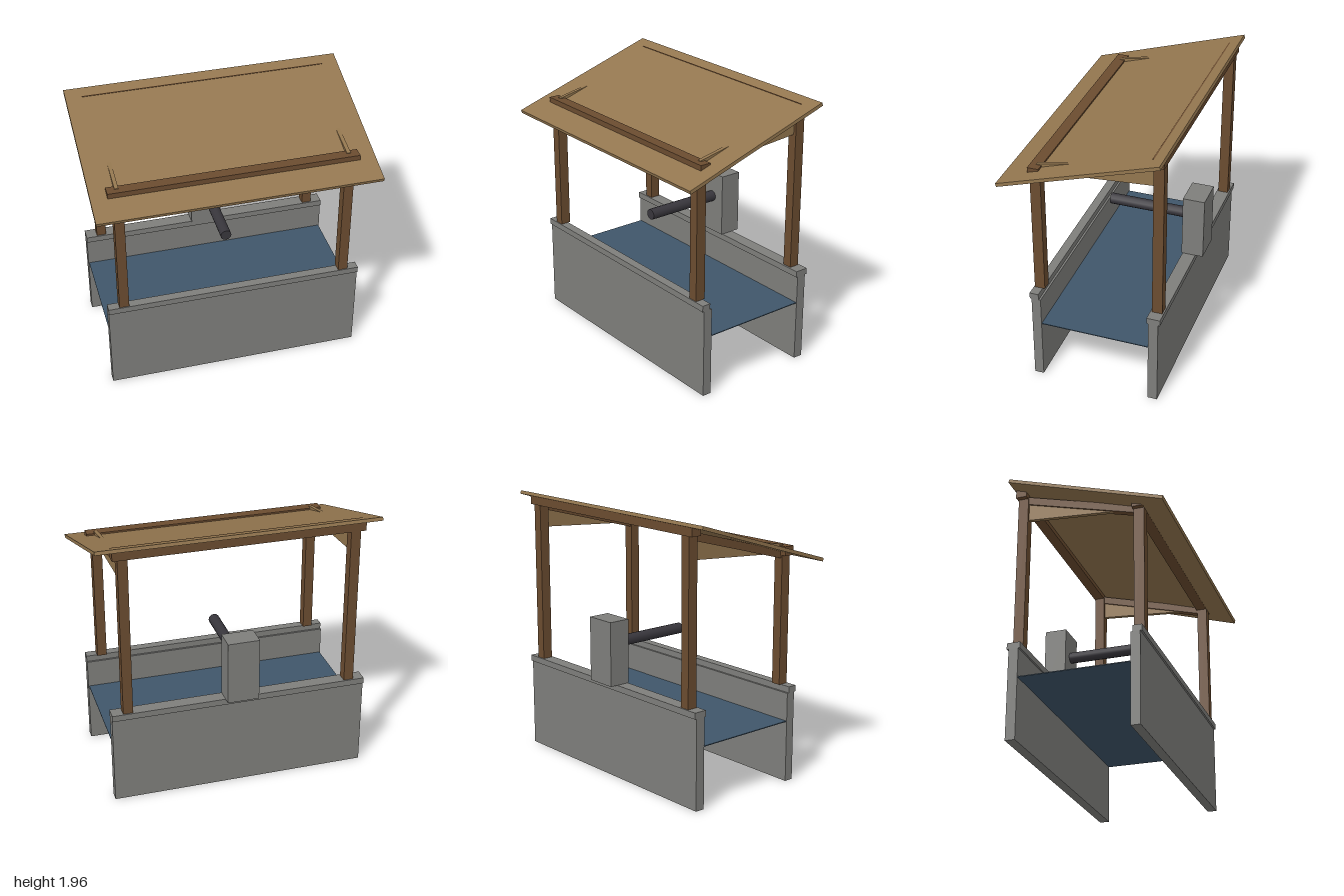
import * as THREE from 'three';

const material = (name, color) => {
  const m = new THREE.MeshStandardMaterial({ color });
  m.name = name;
  return m;
};

export function createModel() {
  const group = new THREE.Group();
  const stone = material('grey stone', 0x7e7e7b);
  const wood = material('dark wood', 0x6b4c30);
  const planks = material('light wood', 0x93764f);
  const iron = material('dark iron', 0x38363c);
  const waterBlue = material('water blue', 0x3f566a);

  const add = (name, geometry, mat) => {
    const mesh = new THREE.Mesh(geometry, mat);
    mesh.name = name;
    group.add(mesh);
    return mesh;
  };
  // Box given by its limits on each axis
  const box = (name, mat, [x0, x1], [y0, y1], [z0, z1]) => {
    const mesh = add(name, new THREE.BoxGeometry(x1 - x0, y1 - y0, z1 - z0), mat);
    mesh.position.set((x0 + x1) / 2, (y0 + y1) / 2, (z0 + z1) / 2);
    return mesh;
  };
  // Side profile of [z, y] points, extruded across x
  const sidePanel = (name, mat, points, x, width) => {
    const shape = new THREE.Shape(points.map(([z, y]) => new THREE.Vector2(-z, y)));
    const geometry = new THREE.ExtrudeGeometry(shape, { depth: width, bevelEnabled: false });
    geometry.translate(0, 0, -width / 2).rotateY(Math.PI / 2);
    add(name, geometry, mat).position.x = x;
  };

  // Trough walls, caps and water
  const wallX = [-0.93, 0.93];
  box('frontWall', stone, wallX, [0, 0.655], [0.34, 0.407]);
  box('frontCap', stone, wallX, [0.655, 0.7], [0.355, 0.42]);
  box('backWall', stone, wallX, [0, 0.655], [-0.52, -0.45]);
  box('backCap', stone, wallX, [0.655, 0.7], [-0.534, -0.438]);
  box('water', waterBlue, [-0.925, 0.925], [0.444, 0.45], [-0.45, 0.34]);

  // Pillar with spout
  box('spoutPillar', stone, [-0.115, 0.115], [0.7, 1.165], [-0.59, -0.43]);
  const spout = add('spout', new THREE.CylinderGeometry(0.04, 0.04, 0.7, 12).rotateX(Math.PI / 2), iron);
  spout.position.set(0, 0.98, -0.2);

  // Posts, rafters and gable boards on both sides
  for (const side of [-1, 1]) {
    const x = 0.815 * side;
    const postX = [x - 0.035, x + 0.035];
    box('frontPost', wood, postX, [0.7, 1.635], [0.338, 0.413]);
    box('backPost', wood, postX, [0.7, 1.87], [-0.524, -0.45]);
    sidePanel('rafter', wood, [[0.36, 1.602], [0.36, 1.659], [-0.48, 1.891], [-0.48, 1.833]], x, 0.05);
    sidePanel('gableBoard', planks, [[0.37, 1.638], [0.37, 1.7], [-0.46, 1.862], [-0.46, 1.7]], x, 0.028);
  }

  // Beams, reaching slightly through the roof
  box('frontBeam', wood, [-0.885, 0.885], [1.63, 1.695], [0.333, 0.413]);
  box('backBeam', wood, [-0.885, 0.885], [1.867, 1.932], [-0.532, -0.454]);

  // Sloping roof
  const roof = add('roof', new THREE.BoxGeometry(2, 0.025, 1.187), planks);
  roof.position.set(0, 1.766, 0.025);
  roof.rotation.x = Math.atan(0.313);

  return group;
}
